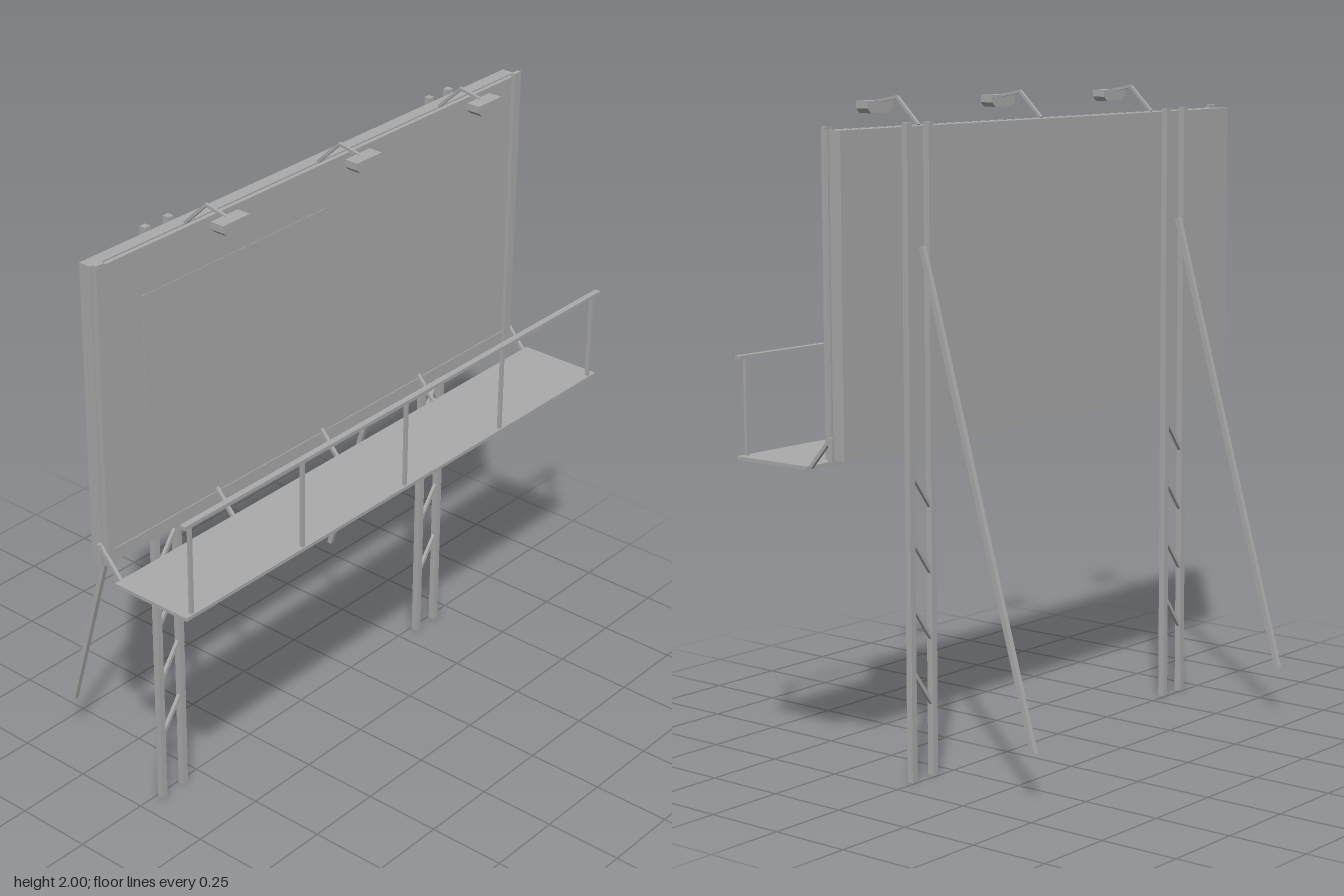
import * as THREE from 'three';

export function createModel() {
  const model = new THREE.Group();
  const grey = new THREE.MeshStandardMaterial({ color: 0xaaaaaa });
  grey.name = 'galvanised grey';

  const add = (name, geometry, parent = model) => {
    const mesh = new THREE.Mesh(geometry, grey);
    mesh.name = name;
    parent.add(mesh);
    return mesh;
  };
  // Box given by its extents on each axis
  const block = (name, x0, x1, y0, y1, z0, z1, parent) =>
    add(name, new THREE.BoxGeometry(x1 - x0, y1 - y0, z1 - z0), parent)
      .position.set((x0 + x1) / 2, (y0 + y1) / 2, (z0 + z1) / 2);
  // Square bar between two points
  const bar = (name, a, b, width, parent) => {
    const from = new THREE.Vector3(...a), to = new THREE.Vector3(...b);
    const mesh = add(name, new THREE.BoxGeometry(width, width, from.distanceTo(to)), parent);
    mesh.position.copy(from).add(to).multiplyScalar(0.5);
    mesh.lookAt(to);
  };
  const group = (name) => {
    const g = new THREE.Group();
    g.name = name;
    model.add(g);
    return g;
  };

  // Display board: back box, front sheet and poster face
  const board = group('board');
  block('backBoard', -0.93, 0.93, 0.99, 1.915, 0.026, 0.067, board);
  block('frontSheet', -0.932, 0.932, 0.99, 1.915, 0.073, 0.08, board);
  block('spacer', -0.9, 0.9, 1.0, 1.905, 0.067, 0.073, board);
  block('posterFace', -0.9, 0.9, 1.03, 1.885, 0.08, 0.084, board);
  block('picturePlate', -0.755, 0.015, 1.275, 1.77, 0.084, 0.0855, board);
  block('topTrim', -0.9, 0.9, 1.885, 1.915, 0.08, 0.087, board);
  block('bottomTrim', -0.9, 0.9, 0.99, 1.03, 0.08, 0.087, board);
  for (const s of [-1, 1]) {
    const x = s * 0.918;
    block('sideTrim', x - 0.016, x + 0.016, 0.99, 1.925, 0.08, 0.094, board);
  }

  // Two towers: paired posts, slanted rungs and a rear brace
  for (const s of [-1, 1]) {
    const tower = group(s < 0 ? 'rightTower' : 'leftTower');
    const cx = s * 0.621;
    for (const dx of [-0.046, 0.046])
      block('post', cx + dx - 0.0105, cx + dx + 0.0105, 0, 1.928, 0.005, 0.026, tower);
    for (let i = 0; i < 4; i++) {
      const y = 0.22 + i * 0.197;
      bar('rung', [cx - 0.042, y, 0.015], [cx + 0.042, y + 0.115, 0.015], 0.011, tower);
    }
    bar('rearBrace', [cx, 1.575, 0.0], [cx, 0.152, -0.407], 0.016, tower);
  }

  // Walkway with railing and angled brackets
  const walkway = group('walkway');
  block('deck', -0.96, 0.96, 0.957, 0.968, 0.144, 0.42, walkway);
  block('topRail', -0.96, 0.96, 1.25, 1.261, 0.402, 0.422, walkway);
  for (let i = -2; i <= 2; i++) {
    const x = i * 0.465;
    block('railPost', x - 0.005, x + 0.005, 0.965, 1.252, 0.404, 0.415, walkway);
    const bx = i * 0.469;
    bar('bracket', [bx, 0.963, 0.147], [bx, 1.05, 0.07], 0.011, walkway);
    if (Math.abs(i) === 2)
      block('bracketPlate', bx - 0.006, bx + 0.006, 0.985, 1.055, 0.06, 0.075, walkway);
  }

  // Lamps on bent arms
  const lampShape = new THREE.Shape([
    [-0.054, 0.036], [-0.054, 0.014], [-0.038, 0], [0.038, 0], [0.054, 0.014], [0.054, 0.036],
  ].map(([x, y]) => new THREE.Vector2(x, y)));
  const lampGeometry = new THREE.ExtrudeGeometry(lampShape, { depth: 0.045, bevelEnabled: false });
  for (const x of [-0.56, 0, 0.56]) {
    const lamp = group('lamp');
    bar('lowerArm', [x, 1.915, 0.065], [x, 1.994, 0.147], 0.009, lamp);
    bar('upperArm', [x, 1.994, 0.144], [x, 1.976, 0.235], 0.009, lamp);
    add('lampHead', lampGeometry, lamp).position.set(x, 1.945, 0.213);
  }
  return model;
}
